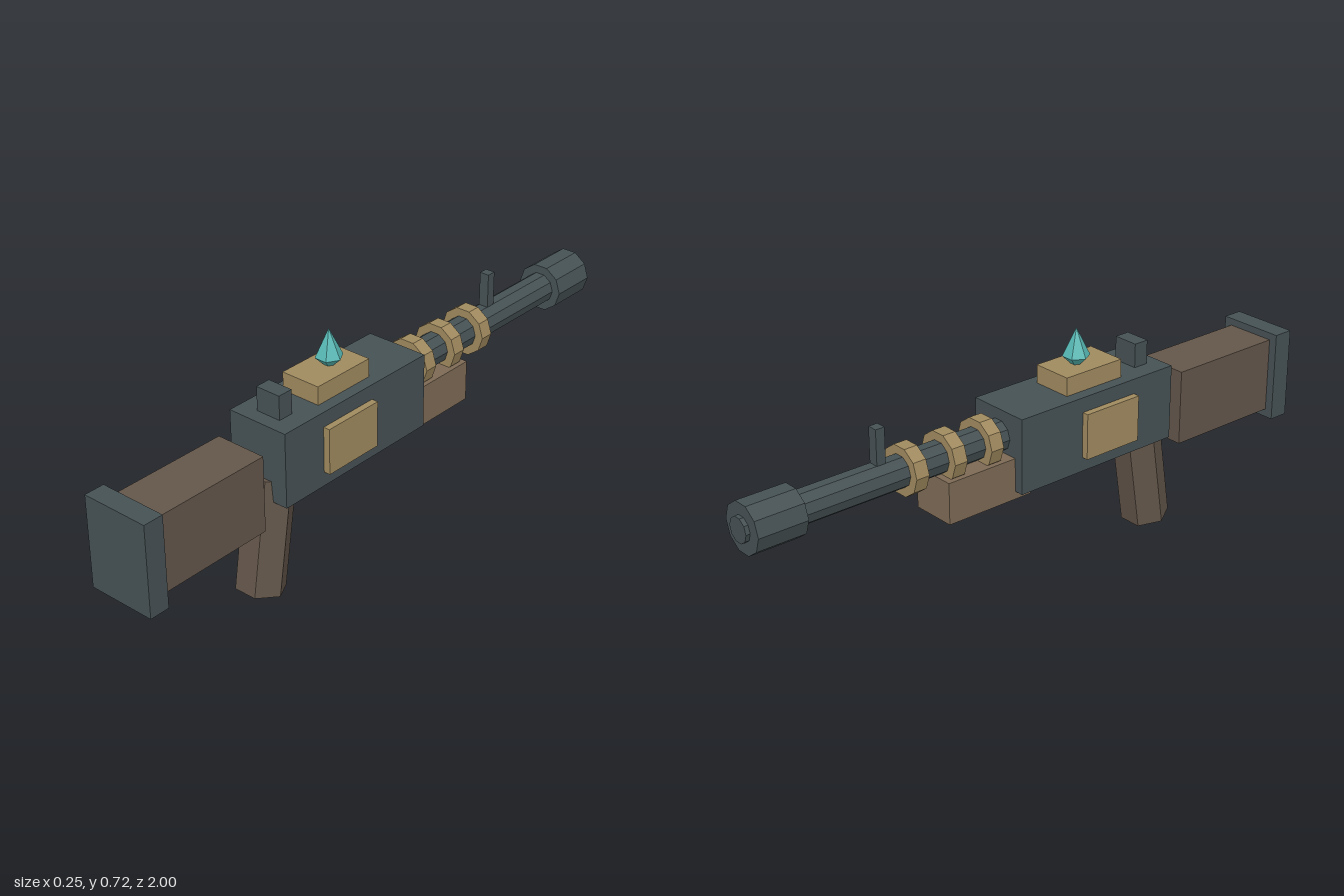
import * as THREE from 'three';

const material = (color) => new THREE.MeshStandardMaterial({ color, flatShading: true });

export function createModel() {
  const model = new THREE.Group();
  const steel = material(0x465154);
  const wood = material(0x63564a);
  const lightWood = material(0x7d6a55);
  const brass = material(0xa08a5f);
  const crystal = material(0x56b8b4);

  const add = (name, geometry, mat) => {
    const mesh = new THREE.Mesh(geometry, mat);
    mesh.name = name;
    model.add(mesh);
    return mesh;
  };

  // Box given by its extents on each axis
  const box = (name, mat, [x0, x1], [y0, y1], [z0, z1]) =>
    add(name, new THREE.BoxGeometry(x1 - x0, y1 - y0, z1 - z0), mat)
      .position.set((x0 + x1) / 2, (y0 + y1) / 2, (z0 + z1) / 2);

  // Ten-sided cylinder on the barrel axis, corners pointing to +x and -x
  const axial = (name, mat, radius, z0, z1) => {
    const geometry = new THREE.CylinderGeometry(radius, radius, z1 - z0, 10);
    geometry.rotateY(Math.PI / 2).rotateX(Math.PI / 2);
    add(name, geometry, mat).position.set(0, 0.475, (z0 + z1) / 2);
  };

  // Stock and receiver
  box('buttPlate', steel, [-0.11, 0.11], [0.243, 0.533], [0.935, 1]);
  box('stock', wood, [-0.083, 0.083], [0.27, 0.51], [0.54, 0.935]);
  box('receiver', steel, [-0.103, 0.103], [0.32, 0.557], [-0.118, 0.475]);
  for (const [side, s] of [['left', 1], ['right', -1]]) {
    const xs = [0.1 * s, 0.124 * s].sort((a, b) => a - b);
    box(side + 'SidePlate', brass, xs, [0.365, 0.51], [0.115, 0.32]);
  }
  box('topPlate', brass, [-0.066, 0.066], [0.55, 0.615], [0.085, 0.3]);
  box('rearSight', steel, [-0.042, 0.042], [0.55, 0.633], [0.38, 0.43]);

  // Slanted six-sided grip
  const grip = add('grip', new THREE.CylinderGeometry(0.076, 0.076, 0.366, 6).rotateY(Math.PI / 6), wood);
  grip.position.set(0, 0.196, 0.454);
  grip.rotation.x = -0.157;

  // Barrel with bands, front sight and muzzle
  axial('barrel', steel, 0.05, -0.9, -0.1);
  for (const z of [-0.185, -0.317, -0.452]) axial('barrelBand', brass, 0.077, z - 0.022, z + 0.022);
  box('frontSight', steel, [-0.016, 0.016], [0.51, 0.632], [-0.562, -0.532]);
  axial('muzzle', steel, 0.077, -0.987, -0.83);
  axial('muzzleTip', steel, 0.039, -1, -0.95);
  box('foreGrip', lightWood, [-0.073, 0.073], [0.295, 0.425], [-0.36, -0.06]);

  // Crystal: two six-sided cones meeting at the widest ring
  const upper = add('crystalTop', new THREE.ConeGeometry(0.042, 0.087, 6, 1, true).rotateY(Math.PI / 6), crystal);
  upper.position.set(0, 0.6835, 0.18);
  const lower = add('crystalBase', new THREE.ConeGeometry(0.042, 0.04, 6, 1, true).rotateY(Math.PI / 6).rotateX(Math.PI), crystal);
  lower.position.set(0, 0.62, 0.18);

  return model;
}
